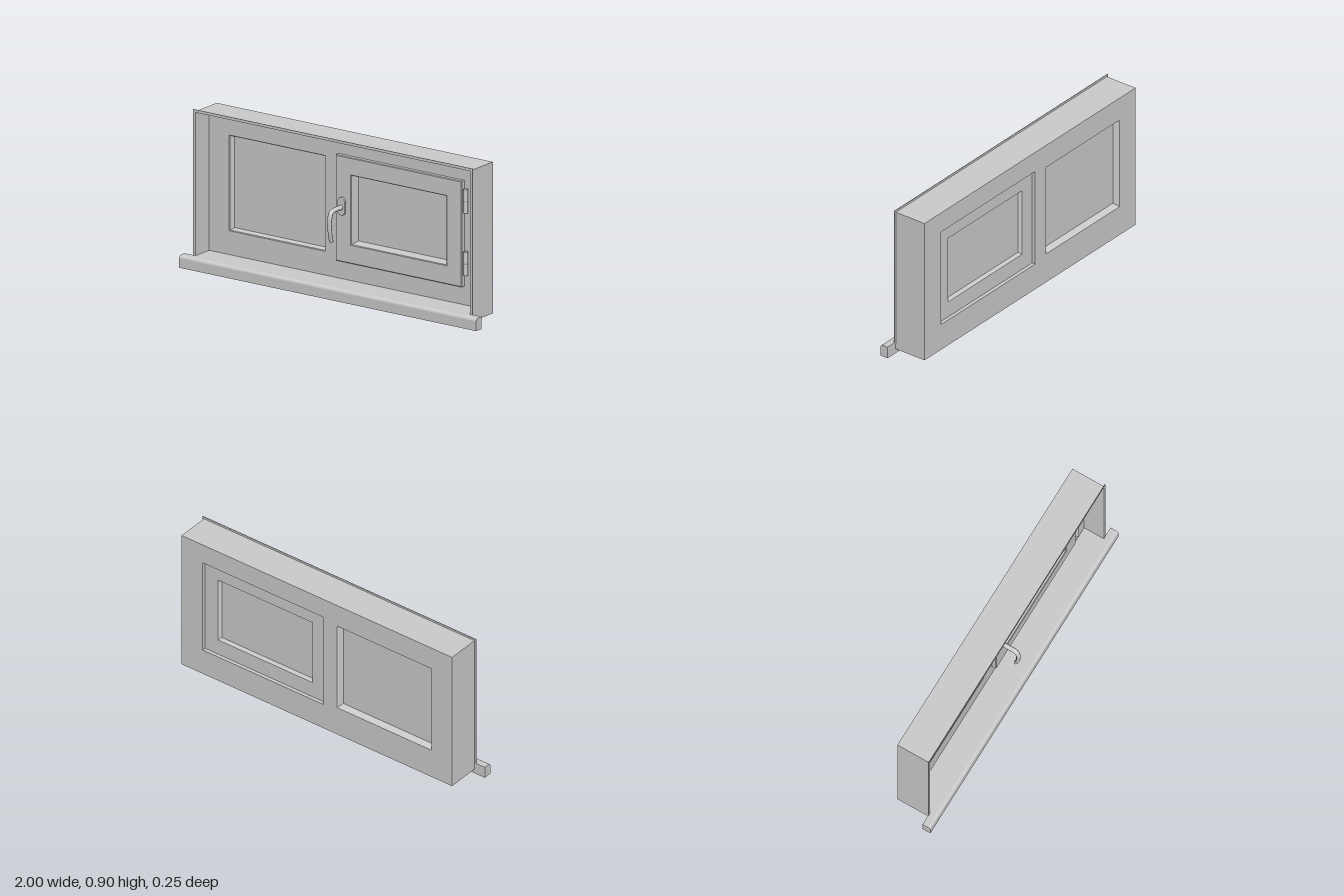
import * as THREE from 'three';

const grey = new THREE.MeshStandardMaterial({ color: 0xcccccc });
const greyDouble = new THREE.MeshStandardMaterial({ color: 0xcccccc, side: THREE.DoubleSide });

// Rectangles are [x0, x1, y0, y1]
const fixedOpening = [-0.79, -0.14, 0.205, 0.75];
const sashSeat = [-0.045, 0.785, 0.185, 0.768];
const sashOuter = [-0.055, 0.795, 0.175, 0.778];
const sashOpening = [0.045, 0.695, 0.28, 0.68];
const FRAME_FRONT = -0.048, FRAME_BACK = -0.125, GLASS_Z = -0.085;

const corners = ([x0, x1, y0, y1]) => [[x0, y0], [x1, y0], [x1, y1], [x0, y1]];
const toShape = (pts) => new THREE.Shape(pts.map(([x, y]) => new THREE.Vector2(x, y)));

function add(group, name, geometry, material = grey) {
  const mesh = new THREE.Mesh(geometry, material);
  mesh.name = name;
  group.add(mesh);
  return mesh;
}

// Flat plate between z0 and z1 with optional rectangular holes
function plate(pts, holes, z0, z1) {
  const shape = toShape(pts);
  holes.forEach((h) => shape.holes.push(toShape(corners(h))));
  return new THREE.ExtrudeGeometry(shape, { depth: z1 - z0, bevelEnabled: false }).translate(0, 0, z0);
}

// Mitred strip around a rectangle; profile is a list of [inset, z]
function mitredStrip([x0, x1, y0, y1], profile) {
  const loops = profile.map(([i, z]) =>
    corners([x0 + i, x1 - i, y0 + i, y1 - i]).map(([x, y]) => [x, y, z]));
  const pos = [];
  for (let k = 0; k < loops.length - 1; k++) {
    for (let c = 0; c < 4; c++) {
      const n = (c + 1) % 4;
      const a = loops[k][c], b = loops[k][n], d = loops[k + 1][c], e = loops[k + 1][n];
      pos.push(...a, ...b, ...e, ...a, ...e, ...d);
    }
  }
  const g = new THREE.BufferGeometry();
  g.setAttribute('position', new THREE.Float32BufferAttribute(pos, 3));
  g.computeVertexNormals();
  return g;
}

// Pane with sloping glazing beads on both faces
function glazing(group, name, rect, front, back) {
  const [x0, x1, y0, y1] = rect;
  add(group, name + 'Glass', new THREE.BoxGeometry(x1 - x0, y1 - y0, 0.006)
    .translate((x0 + x1) / 2, (y0 + y1) / 2, GLASS_Z));
  add(group, name + 'FrontBead', mitredStrip(rect,
    [[0, front], [0.004, front - 0.004], [0.006, front - 0.02], [0.012, GLASS_Z + 0.003]]), greyDouble);
  add(group, name + 'BackBead', mitredStrip(rect,
    [[0, back], [0.003, back + 0.006], [0.014, GLASS_Z - 0.003]]), greyDouble);
}

function makeHandle() {
  const handle = new THREE.Group();
  handle.name = 'handle';
  const x = -0.01;

  // Rounded rosette on the sash
  const r = 0.024, rosette = new THREE.Shape();
  rosette.absarc(0, 0.028, r, 0, Math.PI, false);
  rosette.absarc(0, -0.028, r, Math.PI, Math.PI * 2, false);
  add(handle, 'rosette', new THREE.ExtrudeGeometry(rosette, {
    depth: 0.008, bevelEnabled: true, bevelThickness: 0.004, bevelSize: 0.003, bevelOffset: -0.003,
    bevelSegments: 2, curveSegments: 12,
  }).translate(x, 0.493, -0.022));

  // Curved neck and grip, with finger waves on the inner side
  const path = new THREE.CatmullRomCurve3([
    [-0.015, 0.487], [0.045, 0.487], [0.076, 0.481], [0.09, 0.452],
    [0.092, 0.41], [0.088, 0.36], [0.077, 0.316],
  ].map(([z, y]) => new THREE.Vector3(x, y, z)));
  const segs = 56, sides = 14;
  const g = new THREE.TubeGeometry(path, segs, 1, sides, false);
  const p = g.attributes.position, v = new THREE.Vector3();
  for (let i = 0; i <= segs; i++) {
    const t = i / segs, centre = path.getPointAt(t);
    const base = 0.014 - 0.002 * t;
    for (let j = 0; j <= sides; j++) {
      const k = i * (sides + 1) + j;
      v.fromBufferAttribute(p, k).sub(centre);
      const inner = t > 0.5 && v.z < 0 ? -v.z : 0;
      v.multiplyScalar(base - 0.0025 * inner * (1 + Math.sin(t * 75))).add(centre);
      p.setXYZ(k, v.x, v.y, v.z);
    }
  }
  g.computeVertexNormals();
  add(handle, 'grip', g, greyDouble);
  add(handle, 'gripEnd', new THREE.SphereGeometry(0.0115, 14, 10).scale(1, 0.5, 0.9)).position.set(x, 0.316, 0.077);
  return handle;
}

function makeHinge(y) {
  const hinge = new THREE.Group();
  hinge.name = 'hinge';
  add(hinge, 'hingeLeaf', new THREE.BoxGeometry(0.022, 0.125, 0.012)).position.set(0.803, y, -0.04);
  for (const s of [-1, 1]) {
    add(hinge, 'hingeKnuckle', new THREE.CylinderGeometry(0.0135, 0.0135, 0.066, 16))
      .position.set(0.816, y + s * 0.0345, -0.03);
  }
  add(hinge, 'hingePin', new THREE.CylinderGeometry(0.009, 0.009, 0.138, 12)).position.set(0.816, y, -0.03);
  return hinge;
}

export function createModel() {
  const model = new THREE.Group();
  model.name = 'window';

  // Main frame with a fixed light and a seat for the sash
  add(model, 'frame', plate(corners([-0.93, 0.93, 0.027, 0.888]), [fixedOpening, sashSeat], FRAME_BACK, FRAME_FRONT));
  glazing(model, 'fixed', fixedOpening, FRAME_FRONT, FRAME_BACK);

  // Deep reveal lining around the front recess
  add(model, 'reveal', plate(corners([-0.93, 0.93, 0.027, 0.888]), [[-0.925, 0.925, 0.07, 0.884]], FRAME_FRONT, 0.075));

  // Thin trim along the sides and top of the reveal
  add(model, 'trim', plate([
    [-0.94, 0.06], [-0.925, 0.06], [-0.925, 0.884], [0.925, 0.884],
    [0.925, 0.06], [0.94, 0.06], [0.94, 0.9], [-0.94, 0.9],
  ], [], 0.073, 0.077));

  // Sill nose with rounded upper front edge
  const nose = new THREE.Shape();
  nose.moveTo(0.075, 0);
  nose.lineTo(0.125, 0);
  nose.lineTo(0.125, 0.052);
  nose.absarc(0.107, 0.052, 0.018, 0, Math.PI / 2, false);
  nose.lineTo(0.075, 0.07);
  add(model, 'sill', new THREE.ExtrudeGeometry(nose, { depth: 2, bevelEnabled: false, curveSegments: 8 })
    .rotateY(-Math.PI / 2).translate(1, 0, 0));

  // Opening sash: overlapping front rim and body inside the seat
  const sash = new THREE.Group();
  sash.name = 'sash';
  add(sash, 'sashRim', plate(corners(sashOuter), [sashOpening], FRAME_FRONT, -0.026));
  add(sash, 'sashRimEdge', mitredStrip(sashOuter, [[0, -0.026], [0.004, -0.022]]), greyDouble);
  const [x0, x1, y0, y1] = sashOuter;
  add(sash, 'sashFace', plate(corners([x0 + 0.004, x1 - 0.004, y0 + 0.004, y1 - 0.004]), [sashOpening], -0.026, -0.022));
  add(sash, 'sashBody', plate(corners(sashSeat), [sashOpening], -0.104, FRAME_FRONT));
  glazing(sash, 'sash', sashOpening, -0.022, -0.104);
  sash.add(makeHandle());
  for (const y of [0.3125, 0.6675]) sash.add(makeHinge(y));
  model.add(sash);

  return model;
}
